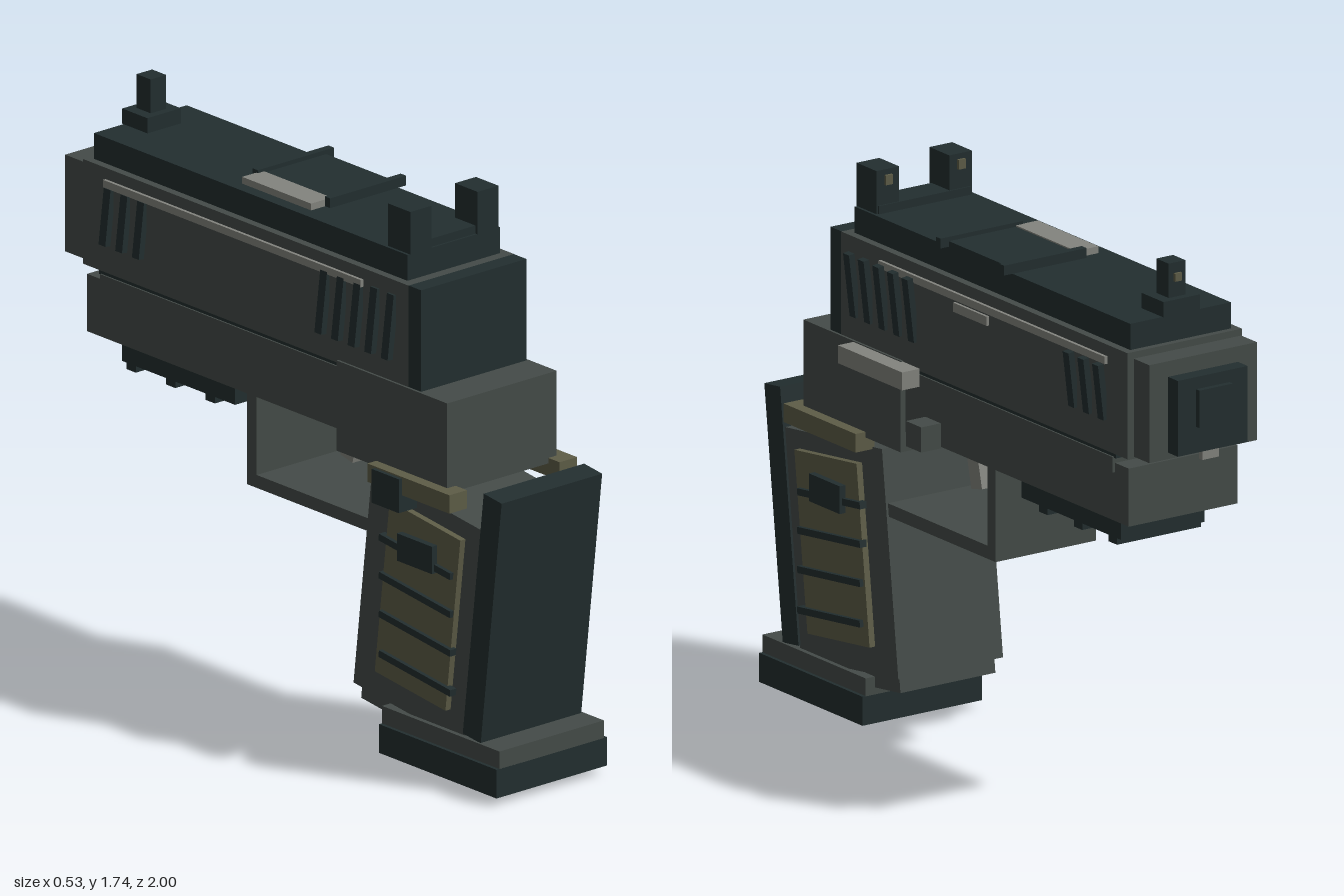
import * as THREE from 'three';

const mat = (name, color) => {
  const m = new THREE.MeshStandardMaterial({ color });
  m.name = name;
  return m;
};

export function createModel() {
  const dark = mat('blackened steel', 0x222e2f);
  const grey = mat('gunmetal', 0x444b48);
  const light = mat('bare steel', 0x83847e);
  const olive = mat('olive', 0x5e5d47);

  const model = new THREE.Group();
  model.name = 'pistol';
  const body = new THREE.Group();
  body.name = 'body';
  body.position.x = -0.006;
  model.add(body);

  // Box from its limits on each axis
  const box = (name, m, x0, x1, y0, y1, z0, z1) => {
    const mesh = new THREE.Mesh(new THREE.BoxGeometry(x1 - x0, y1 - y0, z1 - z0), m);
    mesh.position.set((x0 + x1) / 2, (y0 + y1) / 2, (z0 + z1) / 2);
    mesh.name = name;
    body.add(mesh);
    return mesh;
  };
  // Box centred across the width
  const mid = (name, m, w, y0, y1, z0, z1) => box(name, m, -w / 2, w / 2, y0, y1, z0, z1);
  // The same box on both sides
  const pair = (name, m, x0, x1, y0, y1, z0, z1) => [
    box(name + 'Left', m, x0, x1, y0, y1, z0, z1),
    box(name + 'Right', m, -x1, -x0, y0, y1, z0, z1),
  ];
  // Centred box leaning with the grip
  const LEAN = 0.12;
  const leaning = (name, m, x, y, z, w, h, d, angle = LEAN) => {
    const mesh = box(name, m, x - w / 2, x + w / 2, y - h / 2, y + h / 2, z - d / 2, z + d / 2);
    mesh.rotation.x = angle;
    return mesh;
  };

  // Slide
  mid('slide', grey, 0.41, 1.18, 1.505, -0.84, 0.6);
  mid('slideRear', dark, 0.408, 1.185, 1.505, 0.6, 0.655);
  mid('topRail', dark, 0.36, 1.505, 1.585, -0.82, 0.567);
  pair('slideStrip', light, 0.2, 0.215, 1.447, 1.47, -0.74, 0.4);
  box('slideMark', light, 0.2, 0.214, 1.41, 1.438, -0.145, 0.025);

  // Slanted serrations, leaning the same way on both sides
  const serration = (z, y, h) => {
    for (const s of [-1, 1]) {
      const mesh = box('serration', dark, s * 0.216 - 0.01, s * 0.216 + 0.01, y - h / 2, y + h / 2, z - 0.015, z + 0.015);
      mesh.rotation.z = -0.12;
    }
  };
  for (let i = 0; i < 5; i++) serration(0.53 - i * 0.0735, 1.362, 0.198);
  for (let i = 0; i < 3; i++) serration(-0.573 - i * 0.074, 1.36, 0.172);

  // Ejection port on top of the rail
  box('portPlate', dark, -0.08, 0.18, 1.585, 1.602, -0.21, 0.1);
  box('portCover', light, -0.14, -0.06, 1.585, 1.606, -0.21, 0.095);
  for (const z of [-0.215, 0.105])
    box('portBar', dark, -0.085, 0.21, 1.585, 1.615, z - 0.012, z + 0.012);

  // Sights
  mid('rearSightBase', dark, 0.33, 1.585, 1.61, 0.465, 0.56);
  pair('rearSightPost', dark, 0.09, 0.171, 1.585, 1.717, 0.47, 0.57);
  pair('rearSightDot', olive, 0.118, 0.143, 1.67, 1.7, 0.462, 0.47);
  mid('frontSightBase', dark, 0.13, 1.585, 1.632, -0.826, -0.715);
  mid('frontSightPost', dark, 0.06, 1.632, 1.737, -0.802, -0.74);
  mid('frontSightDot', olive, 0.024, 1.68, 1.705, -0.81, -0.802);

  // Muzzle
  mid('muzzleBlock', grey, 0.385, 1.19, 1.49, -0.933, -0.855);
  mid('muzzleCollar', dark, 0.25, 1.21, 1.442, -0.982, -0.933);
  mid('muzzlePlug', dark, 0.12, 1.29, 1.405, -1, -0.982);
  mid('muzzleTab', light, 0.06, 1.18, 1.21, -0.972, -0.955);

  // Frame
  mid('rearFrame', grey, 0.425, 0.91, 1.19, 0.29, 0.78);
  mid('frontFrame', grey, 0.39, 0.97, 1.148, -0.833, 0.29);
  mid('frameLip', grey, 0.41, 1.12, 1.168, -0.765, 0.29);
  mid('frameSeam', dark, 0.4, 1.165, 1.18, -0.775, 0.29);
  box('slideStop', light, 0.205, 0.268, 1.132, 1.187, 0.205, 0.528);
  box('takedownPin', grey, 0.19, 0.265, 0.965, 1.042, 0.113, 0.19);

  // Accessory rail under the frame
  mid('lowerRail', dark, 0.3, 0.895, 0.955, -0.73, -0.23);
  for (let i = 0; i < 3; i++) {
    const z = -0.34 - i * 0.175;
    mid('lowerRailRib', dark, 0.3, 0.875, 0.897, z - 0.021, z + 0.021);
  }

  // Trigger and guard
  leaning('trigger', light, 0, 0.89, 0.163, 0.09, 0.175, 0.055, 0.23);
  mid('guardFront', grey, 0.36, 0.68, 0.97, -0.142, -0.1);
  mid('guardBottom', grey, 0.36, 0.68, 0.72, -0.142, 0.42);

  // Grip
  leaning('grip', grey, 0, 0.51, 0.624, 0.375, 0.69, 0.495);
  leaning('magazine', grey, 0, 0.46, 0.615, 0.34, 0.68, 0.45);
  leaning('backStrap', dark, 0, 0.555, 0.915, 0.39, 0.775, 0.08);
  for (const s of [-1, 1]) {
    leaning('gripPanel', olive, s * 0.195, 0.523, 0.643, 0.025, 0.55, 0.315);
    for (const y of [0.678, 0.56, 0.44, 0.316])
      leaning('gripRib', dark, s * 0.208, y, 0.643, 0.024, 0.021, 0.318);
  }
  pair('gripButton', dark, 0.195, 0.228, 0.65, 0.735, 0.575, 0.73);
  pair('thumbRest', olive, 0.18, 0.248, 0.87, 0.927, 0.467, 0.83);
  box('magazineRelease', dark, -0.26, -0.19, 0.817, 0.922, 0.5, 0.62);

  // Magazine base
  mid('baseCollar', grey, 0.405, 0.112, 0.167, 0.48, 1);
  mid('basePlate', dark, 0.428, 0.024, 0.113, 0.48, 1);
  mid('baseButton', olive, 0.108, 0, 0.025, 0.83, 0.88);

  return model;
}
